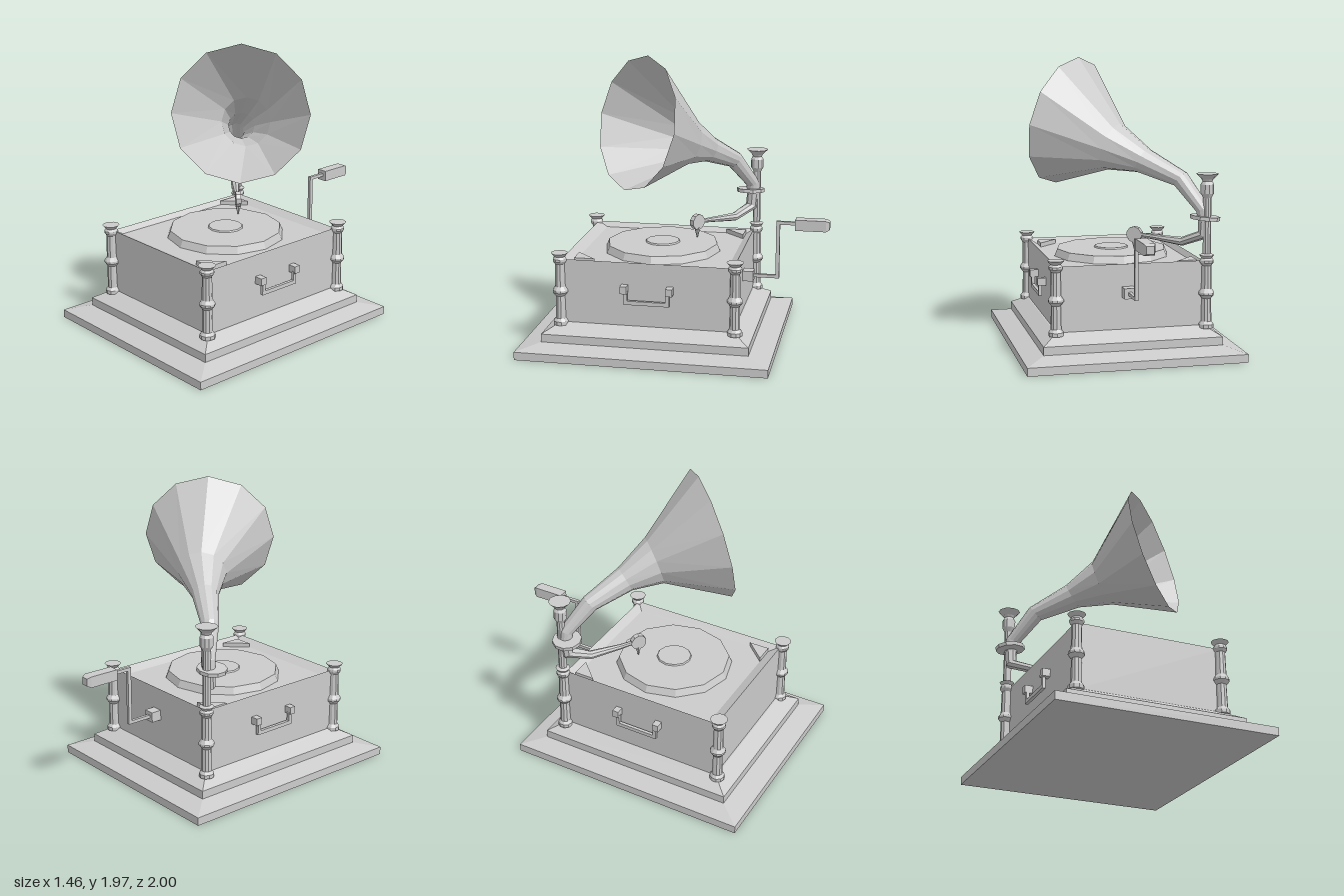
import * as THREE from 'three';

const V = (x, y, z) => new THREE.Vector3(x, y, z);
const grey = new THREE.MeshStandardMaterial({ color: 0xcccccc, flatShading: true });
const greyOpen = new THREE.MeshStandardMaterial({ color: 0xcccccc, flatShading: true, side: THREE.DoubleSide });

// Skin a series of rings, each with the same number of points
function loft(rings, capStart = true, capEnd = true) {
  const pos = [];
  const tri = (...pts) => pts.forEach((p) => pos.push(p.x, p.y, p.z));
  const n = rings[0].length;
  for (let k = 0; k < rings.length - 1; k++) {
    for (let i = 0; i < n; i++) {
      const j = (i + 1) % n, r = rings[k], q = rings[k + 1];
      tri(r[i], r[j], q[j]);
      tri(r[i], q[j], q[i]);
    }
  }
  const first = rings[0], last = rings[rings.length - 1];
  for (let i = 1; i < n - 1; i++) {
    if (capStart) tri(first[0], first[i + 1], first[i]);
    if (capEnd) tri(last[0], last[i], last[i + 1]);
  }
  const g = new THREE.BufferGeometry();
  g.setAttribute('position', new THREE.Float32BufferAttribute(pos, 3));
  g.computeVertexNormals();
  return g;
}

// Horizontal rectangular ring
const rect = (x0, x1, z0, z1, y) => [V(x1, y, z1), V(x1, y, z0), V(x0, y, z0), V(x0, y, z1)];

// Round ring facing along an axis
function circle(center, axis, radius, sides) {
  const a = V(...axis).normalize();
  const s = V(-1, 0, 1);
  s.addScaledVector(a, -s.dot(a)).normalize();
  const u = s.clone().cross(a);
  return Array.from({ length: sides }, (_, i) => {
    const t = (i / sides) * Math.PI * 2;
    return V(...center).addScaledVector(u, radius * Math.cos(t)).addScaledVector(s, radius * Math.sin(t));
  });
}

export function createModel() {
  const model = new THREE.Group();
  function add(name, geometry, x = 0, y = 0, z = 0, material = grey, parent = model) {
    const m = new THREE.Mesh(geometry, material);
    m.name = name;
    m.position.set(x, y, z);
    parent.add(m);
    return m;
  }
  const box = (name, w, h, d, x, y, z, parent) =>
    add(name, new THREE.BoxGeometry(w, h, d), x, y, z, grey, parent);

  // Stepped plinth
  add('plinth', loft([
    rect(-0.73, 0.73, -0.685, 1, 0),
    rect(-0.73, 0.73, -0.685, 1, 0.055),
    rect(-0.6, 0.6, -0.54, 0.85, 0.09),
    rect(-0.6, 0.6, -0.54, 0.85, 0.145),
    rect(-0.5, 0.5, -0.43, 0.74, 0.205),
  ]));

  // Case with a shallow sunken top
  add('case', loft([
    rect(-0.495, 0.49, -0.42, 0.73, 0.2),
    rect(-0.495, 0.49, -0.42, 0.73, 0.64),
    rect(-0.47, 0.43, -0.365, 0.66, 0.605),
  ]));

  // Corner plates in the sunken top
  for (const [x, z, d] of [[0.43, 0.66, -1], [-0.47, -0.365, 1]]) {
    const s = new THREE.Shape([
      new THREE.Vector2(x, -z), new THREE.Vector2(x + 0.135 * d, -z), new THREE.Vector2(x, -z - 0.14 * d),
    ]);
    const g = new THREE.ExtrudeGeometry(s, { depth: 0.03, bevelEnabled: false });
    g.rotateX(-Math.PI / 2);
    add('cornerPlate', g, 0, 0.605, 0);
  }

  // Turntable and centre disc
  add('turntable', new THREE.CylinderGeometry(0.38, 0.4, 0.05, 12), 0, 0.632, 0.145);
  add('centreDisc', new THREE.CylinderGeometry(0.115, 0.12, 0.01, 12), 0, 0.662, 0.145);

  // Turned corner posts
  const lathe = (pts) => new THREE.LatheGeometry(pts.map(([r, y]) => new THREE.Vector2(r, y)), 10);
  const lower = [
    [0, 0.19], [0.05, 0.19], [0.05, 0.215], [0.035, 0.235], [0.032, 0.39], [0.052, 0.415],
    [0.052, 0.43], [0.035, 0.455], [0.032, 0.61], [0.046, 0.63], [0.046, 0.645], [0.035, 0.66],
  ];
  const shortPost = lathe([...lower, [0.058, 0.685], [0, 0.685]]);
  for (const [x, z] of [[-0.495, 0.745], [0.495, 0.74], [0.5, -0.435]]) {
    add('cornerPost', shortPost, x, 0, z);
  }
  add('tallPost', lathe([
    ...lower, [0.05, 0.68], [0.027, 0.69], [0.027, 1.06], [0.044, 1.09], [0.044, 1.15],
    [0.032, 1.17], [0.04, 1.185], [0.075, 1.22], [0, 1.22],
  ]), -0.515, 0, -0.435);

  // Horn: bent neck opening into a twelve-sided bell
  const horn = [
    [[-0.505, 0.9, -0.41], [0.05, 1, 0.05], 0.042],
    [[-0.495, 0.98, -0.405], [0.3, 0.9, 0.25], 0.046],
    [[-0.375, 1.17, -0.29], [0.6, 0.65, 0.5], 0.06],
    [[-0.155, 1.285, -0.145], [0.68, 0.45, 0.6], 0.09],
    [[0.02, 1.37, -0.025], [0.69, 0.3, 0.67], 0.165],
    [[0.283, 1.53, 0.262], [0.69, 0.215, 0.69], 0.447],
  ];
  add('horn', loft(horn.map(([c, a, r]) => circle(c, a, r, 12)), true, false), 0, 0, 0, greyOpen);

  // Collar under the horn
  const collar = add('hornCollar', new THREE.CylinderGeometry(0.1, 0.1, 0.025, 10), -0.515, 0.922, -0.39);
  collar.rotation.z = 0.1;

  // Tone arm from the sound box back up to the collar
  const arm = [
    [[-0.13, 0.775, -0.09], [-1, 0, -0.8], 0.014],
    [[-0.22, 0.767, -0.155], [-1, -0.05, -0.8], 0.018],
    [[-0.385, 0.752, -0.295], [-1, 0.1, -0.8], 0.03],
    [[-0.5, 0.81, -0.4], [-0.4, 0.9, -0.3], 0.042],
    [[-0.505, 0.92, -0.41], [0, 1, 0], 0.042],
  ];
  add('toneArm', loft(arm.map(([c, a, r]) => circle(c, a, r, 8))));

  // Sound box with needle
  const soundBox = new THREE.CylinderGeometry(0.055, 0.055, 0.035, 10);
  soundBox.rotateX(Math.PI / 2).rotateY(-0.64);
  add('soundBox', soundBox, -0.115, 0.775, -0.075);
  add('needle', new THREE.CylinderGeometry(0.022, 0.004, 0.07, 6), -0.115, 0.7, -0.075);

  // Winding crank at the back
  const crank = new THREE.Group();
  crank.name = 'crank';
  model.add(crank);
  box('crankMount', 0.075, 0.07, 0.075, 0.02, 0.455, -0.455, crank);
  box('crankAxle', 0.022, 0.022, 0.18, 0.02, 0.455, -0.575, crank);
  box('crankArm', 0.022, 0.4, 0.025, 0.02, 0.645, -0.653, crank);
  box('crankRod', 0.022, 0.022, 0.13, 0.02, 0.834, -0.71, crank);
  const grip = [[0.037, 0.77], [0.037, 0.975], [0.025, 1]].map(([h, z]) =>
    [[h, h], [-h, h], [-h, -h], [h, -h]].map(([x, y]) => V(x + 0.02, y + 0.83, -z)).reverse());
  add('crankGrip', loft(grip), 0, 0, 0, grey, crank);

  // Carrying handles on both sides
  for (const side of [-1, 1]) {
    const handle = new THREE.Group();
    handle.name = side > 0 ? 'leftHandle' : 'rightHandle';
    model.add(handle);
    for (const z of [-0.005, 0.3]) {
      box('handleMount', 0.06, 0.05, 0.045, side * 0.518, 0.465, z, handle);
      box('handleLeg', 0.022, 0.085, 0.024, side * 0.527, 0.41, z + (z > 0.1 ? -0.012 : 0.012), handle);
    }
    box('handleBar', 0.022, 0.026, 0.305, side * 0.527, 0.378, 0.148, handle);
  }
  return model;
}
